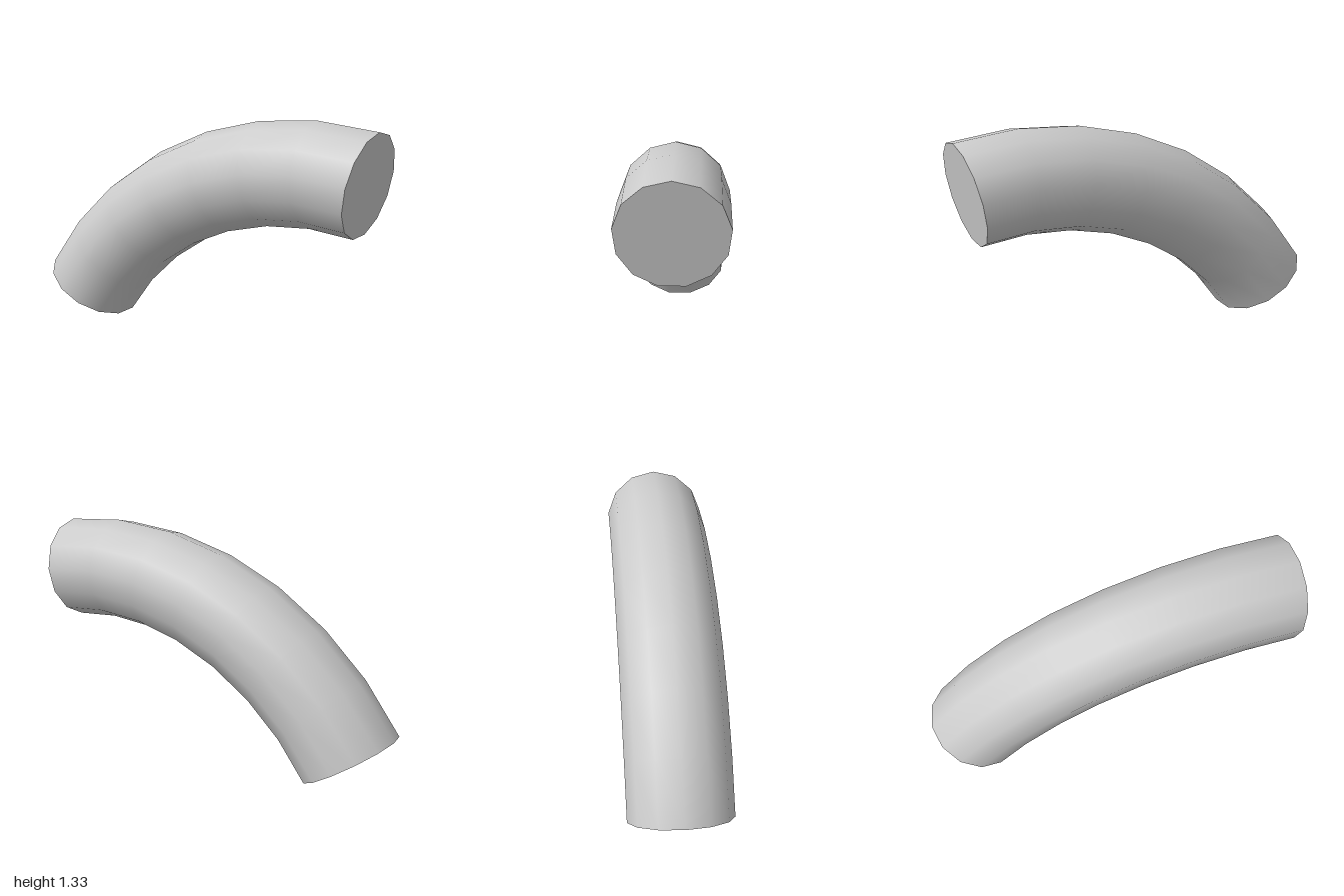
import * as THREE from 'three';

const BEND = 1.885;                             // radius of the centre line
const PIPE = 0.297;                             // radius of the pipe
const SIDES = 13;
const STEPS = 7;
const STEP = THREE.MathUtils.degToRad(9.65);    // bend angle of one segment
const ARC = STEP * STEPS;

export function createModel() {
  const model = new THREE.Group();
  model.name = 'bentPipe';
  const material = new THREE.MeshStandardMaterial({ color: 0xcccccc });

  // The bend lies in the local xy plane, one step past its highest ring
  const bend = new THREE.Group();
  bend.name = 'bend';
  bend.rotation.z = Math.PI / 2 - STEP;
  bend.position.set(0.692, 1.036 - BEND, 0);

  const add = (name, geometry) => {
    const mesh = new THREE.Mesh(geometry, material);
    mesh.name = name;
    bend.add(mesh);
  };

  // Smooth curved wall
  add('pipeWall', new THREE.TorusGeometry(BEND, PIPE, SIDES, STEPS, ARC));

  // Flat discs closing both ends
  const cap = (turn, angle) => new THREE.CircleGeometry(PIPE, SIDES)
    .rotateX(turn).translate(BEND, 0, 0).rotateZ(angle);
  add('upperEndCap', cap(Math.PI / 2, 0));
  add('lowerEndCap', cap(-Math.PI / 2, ARC));

  // Turn the plane of the bend diagonally
  const diagonal = new THREE.Group();
  diagonal.name = 'diagonalTurn';
  diagonal.rotation.y = -THREE.MathUtils.degToRad(35.2);
  diagonal.add(bend);
  model.add(diagonal);
  return model;
}
